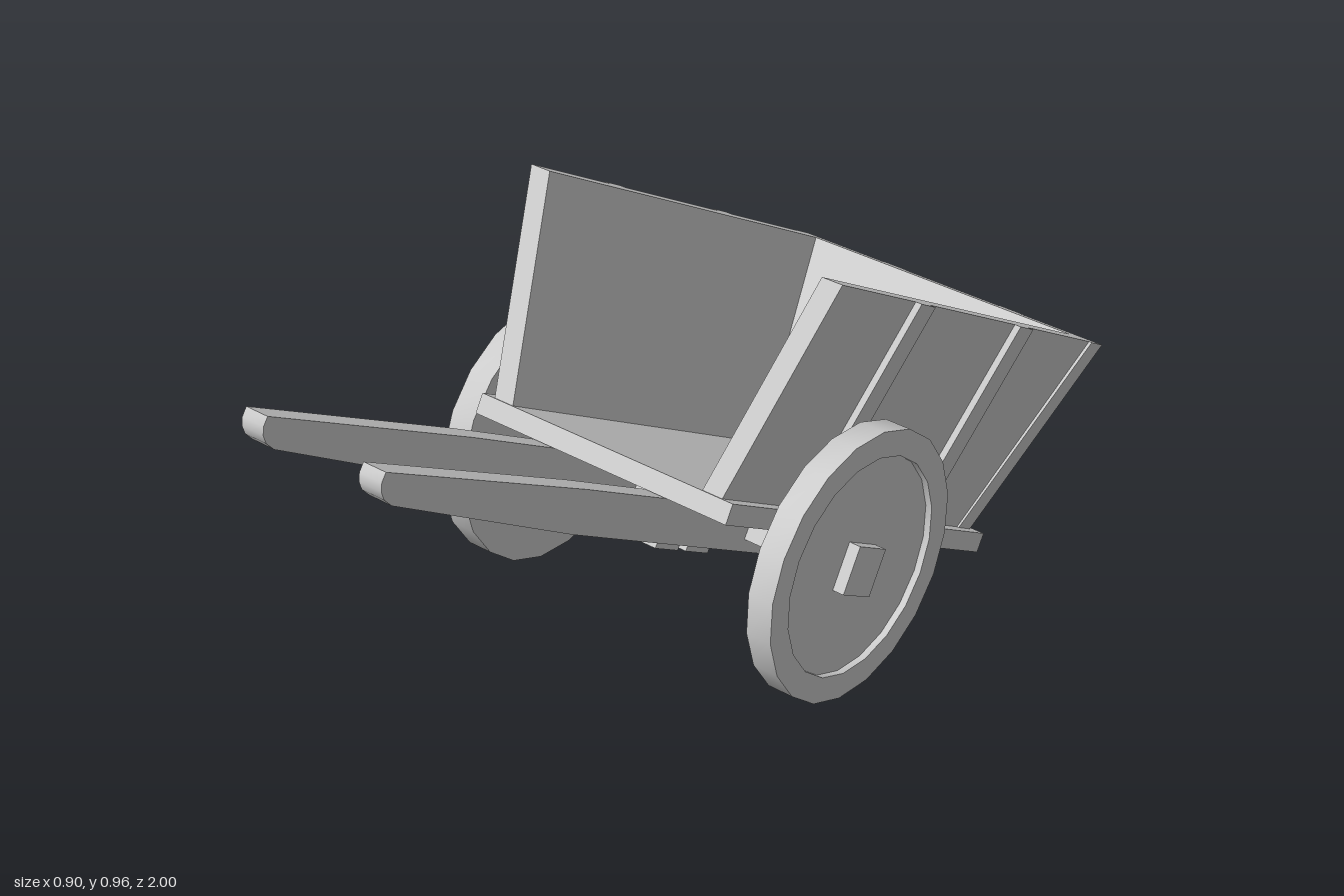
import * as THREE from 'three';
import { toCreasedNormals } from 'three/addons/utils/BufferGeometryUtils.js';

const lerp = THREE.MathUtils.lerp;

export function createModel() {
  const wood = new THREE.MeshStandardMaterial({ color: 0xcccccc });
  wood.name = 'pale wood';
  const model = new THREE.Group();
  model.name = 'handcart';

  // Everything is built level around the axle, then tipped back by 30 degrees
  const cart = new THREE.Group();
  cart.name = 'tiltedCart';
  cart.position.set(0, 0.307, -0.078);
  cart.rotation.x = -Math.PI / 6;
  model.add(cart);

  function add(name, geometry) {
    const mesh = new THREE.Mesh(geometry, wood);
    mesh.name = name;
    cart.add(mesh);
    return mesh;
  }

  // Box given by its limits on each axis
  function block(name, x0, x1, y0, y1, z0, z1) {
    const g = new THREE.BoxGeometry(x1 - x0, y1 - y0, z1 - z0);
    g.translate((x0 + x1) / 2, (y0 + y1) / 2, (z0 + z1) / 2);
    return add(name, g);
  }

  // Leaning board: rule(t, sx, sz) gives [x, z]; t runs 0 to 1 up, sx and sz are -1 or 1
  const BASE = 0.071, TOP = 0.545;
  function board(name, rule) {
    const g = new THREE.BoxGeometry(1, 1, 1);
    const p = g.attributes.position;
    for (let i = 0; i < p.count; i++) {
      const t = p.getY(i) + 0.5;
      const [x, z] = rule(t, Math.sign(p.getX(i)), Math.sign(p.getZ(i)));
      p.setXYZ(i, x, lerp(BASE, TOP, t), z);
    }
    g.computeVertexNormals();
    return add(name, g);
  }

  // Floor and axle beam
  block('floor', -0.33, 0.33, 0.027, 0.071, -0.656, 0.365);
  block('axleBeam', -0.35, 0.35, -0.041, 0.027, -0.043, 0.031);

  // Back wall and its battens, leaning backwards
  const backZ = t => lerp(-0.61, -0.711, t);
  board('backWall', (t, sx, sz) => [sx * lerp(0.305, 0.407, t), backZ(t) + sz * 0.025]);
  for (const side of [-1, 1]) {
    board('backBatten', (t, sx, sz) => [side * 0.16 + sx * 0.031, backZ(t) - 0.03 + sz * 0.008]);
  }

  // Handle outline: length along the cart, height
  const handleShape = new THREE.Shape([
    [-0.05, -0.068], [0.63, -0.066], [1.19, -0.045], [1.216, -0.036], [1.231, -0.022],
    [1.238, -0.005], [1.236, 0.015], [0.63, 0.026], [-0.05, 0.026],
  ].map(([z, y]) => new THREE.Vector2(z, y)));

  // Wheel section: radius, distance outwards, with a recessed outer face
  const wheelProfile = [
    [0, -0.03], [0.297, -0.03], [0.297, 0.03], [0.24, 0.03], [0.24, 0.015], [0, 0.015],
  ].map(([r, y]) => new THREE.Vector2(r, y));

  for (const side of [-1, 1]) {
    const label = side > 0 ? 'left' : 'right';

    // Side wall leaning outwards, cut to meet the back wall
    board(label + 'SideWall', (t, sx, sz) => [
      side * lerp(0.275, 0.375, t) + sx * 0.025,
      sz > 0 ? 0.36 : lerp(-0.585, -0.686, t),
    ]);

    // Upright battens on the outside of the wall
    for (const z of [0.048, -0.371]) {
      board(label + 'SideBatten', (t, sx, sz) => [
        side * lerp(0.305, 0.405, t) + sx * 0.01,
        z + sz * 0.028,
      ]);
    }

    // Wheel and square hub
    const wheel = new THREE.LatheGeometry(wheelProfile, 20);
    wheel.rotateZ(-side * Math.PI / 2);
    add(label + 'Wheel', toCreasedNormals(wheel, 0.6)).position.x = side * 0.41;
    const hub = new THREE.BoxGeometry(0.107, 0.104, 0.102);
    add(label + 'Hub', hub).position.set(side * 0.3985, -0.006, 0.002);

    // Handle
    const handle = new THREE.ExtrudeGeometry(handleShape, { depth: 0.055, bevelEnabled: false });
    handle.translate(0, 0, -0.0275);
    handle.rotateY(-Math.PI / 2);
    add(label + 'Handle', toCreasedNormals(handle, 0.7)).position.x = side * 0.148;
  }

  // Two slats joining the handles underneath
  for (const z of [0.109, 0.219]) {
    block('crossSlat', -0.151, 0.151, -0.085, -0.066, z, z + 0.081);
  }

  return model;
}
